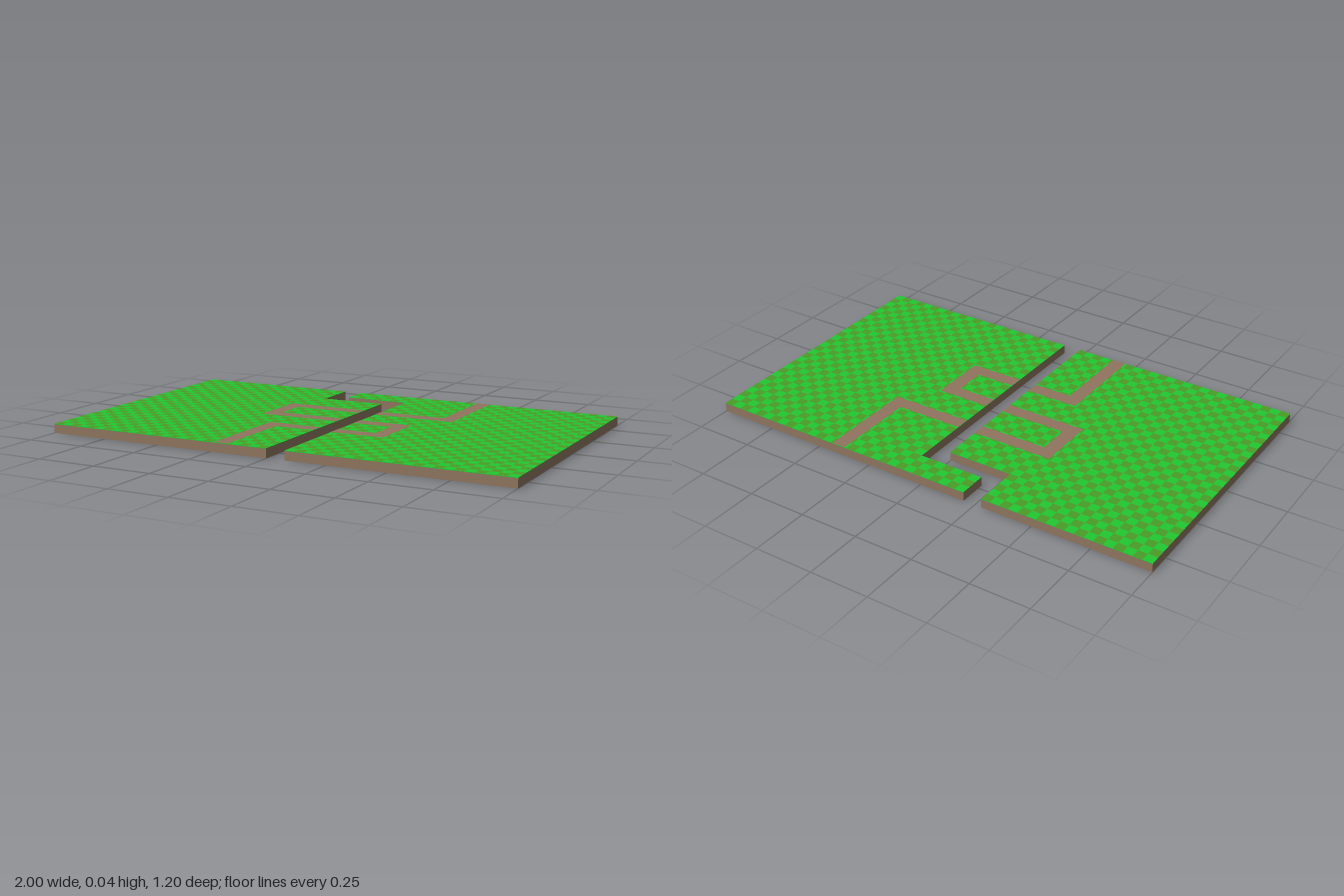
import * as THREE from 'three';
import { mergeGeometries } from 'three/addons/utils/BufferGeometryUtils.js';

const CELL = 0.04, PATH_HALF = 0.03;
const SOIL_TOP = 0.037, GRASS_TOP = 0.039, CHECK_TOP = 0.0395, PATH_TOP = 0.04;

const soil = new THREE.MeshStandardMaterial({ color: 0x8f7660 });
const grass = new THREE.MeshStandardMaterial({ color: 0x22c832 });
const darkGrass = new THREE.MeshStandardMaterial({ color: 0x4a9e28 });
const dirtPath = new THREE.MeshStandardMaterial({ color: 0x917460 });

// Outlines are [x, z] points on the ground plane
const leftOutline = [[-1, -0.6], [-0.28, -0.6], [-0.28, -0.4], [0, -0.4], [0, 0.6], [-1, 0.6]];
const rightOutline = [[-0.2, -0.6], [1, -0.6], [1, 0.6], [0.08, 0.6], [0.08, -0.48], [-0.2, -0.48]];

// Path centrelines, all with right-angled turns
const leftPaths = [
  [[0, -0.2], [-0.32, -0.2], [-0.32, 0], [0, 0]],
  [[0, 0.2], [-0.2, 0.2], [-0.2, 0.6]],
];
const rightPaths = [
  [[0.4, -0.6], [0.4, -0.2], [0.08, -0.2]],
  [[0.08, 0], [0.28, 0], [0.28, 0.2], [0.08, 0.2]],
];

const toShape = (points) => new THREE.Shape(points.map(([x, z]) => new THREE.Vector2(x, -z)));

function add(group, name, geometry, material) {
  const mesh = new THREE.Mesh(geometry, material);
  mesh.name = name;
  group.add(mesh);
}

function layer(points, bottom, top) {
  return new THREE.ExtrudeGeometry(toShape(points), { depth: top - bottom, bevelEnabled: false })
    .rotateX(-Math.PI / 2).translate(0, bottom, 0);
}

// Offset a right-angled centreline to both sides, mitring the corners
function pathGeometry(line) {
  const side = (sign) => line.map(([x, z], i) => {
    let ox = 0, oz = 0;
    const segments = [[i - 1, i], [i, i + 1]].filter(([a, b]) => a >= 0 && b < line.length);
    for (const [a, b] of segments) {
      const dx = Math.sign(line[b][0] - line[a][0]), dz = Math.sign(line[b][1] - line[a][1]);
      ox -= dz * sign * PATH_HALF;
      oz += dx * sign * PATH_HALF;
    }
    return [x + ox, z + oz];
  });
  return new THREE.ShapeGeometry(toShape([...side(1), ...side(-1).reverse()]))
    .rotateX(-Math.PI / 2).translate(0, PATH_TOP, 0);
}

// Every second grid cell that lies on the slab
function checkerGeometry(inside) {
  const cells = [];
  for (let i = 0; i < 50; i++) {
    for (let j = 0; j < 30; j++) {
      const x = -1 + (i + 0.5) * CELL, z = -0.6 + (j + 0.5) * CELL;
      if ((i + j) % 2 === 0 || !inside(x, z)) continue;
      cells.push(new THREE.PlaneGeometry(CELL, CELL).rotateX(-Math.PI / 2).translate(x, CHECK_TOP, z));
    }
  }
  return mergeGeometries(cells);
}

function buildSlab(name, outline, paths, inside) {
  const group = new THREE.Group();
  group.name = name;
  add(group, 'soil', layer(outline, 0, SOIL_TOP), soil);
  add(group, 'grass', layer(outline, SOIL_TOP, GRASS_TOP), grass);
  add(group, 'darkGrassSquares', checkerGeometry(inside), darkGrass);
  add(group, 'dirtPaths', mergeGeometries(paths.map(pathGeometry)), dirtPath);
  return group;
}

export function createModel() {
  const model = new THREE.Group();
  model.name = 'splitGround';
  // Two banks separated by a stepped gap
  model.add(buildSlab('rightBank', leftOutline, leftPaths, (x, z) => x < (z < -0.4 ? -0.28 : 0)));
  model.add(buildSlab('leftBank', rightOutline, rightPaths, (x, z) => x > (z < -0.48 ? -0.2 : 0.08)));
  return model;
}
